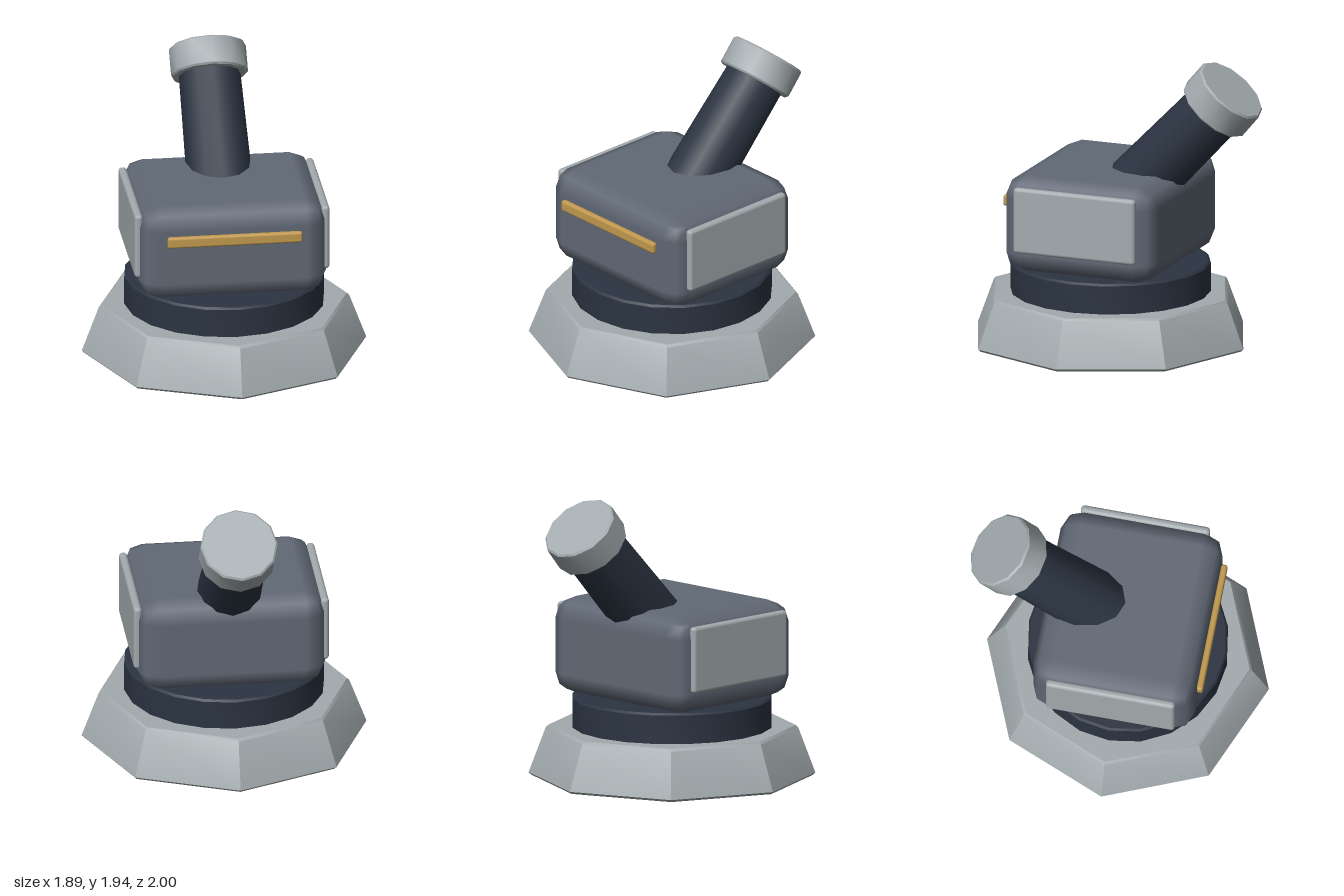
import * as THREE from 'three';
import { toCreasedNormals } from 'three/addons/utils/BufferGeometryUtils.js';
import { RoundedBoxGeometry } from 'three/addons/geometries/RoundedBoxGeometry.js';

const mat = (name, color) => {
  const m = new THREE.MeshStandardMaterial({ color });
  m.name = name;
  return m;
};

// Solid turned about y from y = 0 to h, with small chamfers on both rims
function chamferedDrum(rBottom, rTop, h, sides, c) {
  const profile = [
    [0, 0], [rBottom - c, 0], [rBottom, c], [rTop, h - c], [rTop - c, h], [0, h],
  ].map(([x, y]) => new THREE.Vector2(x, y));
  return toCreasedNormals(new THREE.LatheGeometry(profile, sides), THREE.MathUtils.degToRad(40));
}

export function createModel() {
  const model = new THREE.Group();
  model.name = 'turret';

  const lightGrey = mat('light grey', 0xa3abae);
  const slate = mat('slate grey', 0x616976);
  const navy = mat('dark navy', 0x2b3442);
  const gold = mat('gold', 0xc2994e);

  const add = (name, geometry, material, x, y, z, tilt = 0) => {
    const mesh = new THREE.Mesh(geometry, material);
    mesh.name = name;
    mesh.position.set(x, y, z);
    mesh.rotation.x = -THREE.MathUtils.degToRad(tilt);
    model.add(mesh);
    return mesh;
  };
  const midZ = 0.056;

  // Octagonal foot and the round turntable on it
  add('base', chamferedDrum(0.945, 0.832, 0.335, 8, 0.016), lightGrey, 0, 0, midZ);
  add('turntable', chamferedDrum(0.663, 0.663, 0.22, 20, 0.014), navy, 0, 0.32, midZ);

  // Rounded housing
  add('housing', new RoundedBoxGeometry(1.25, 0.65, 1.085, 1, 0.14), slate, 0, 0.865, midZ);

  // Side plates
  for (const [name, s] of [['leftPlate', 1], ['rightPlate', -1]]) {
    add(name, new RoundedBoxGeometry(0.055, 0.445, 0.865, 2, 0.024), lightGrey,
      s * 0.621, 0.913, midZ);
  }

  // Front light strip
  add('frontStrip', new RoundedBoxGeometry(0.895, 0.075, 0.042, 2, 0.016), gold, 0, 0.988, 0.62);

  // Barrel leaning backwards, with a wider muzzle cap
  add('barrel', new THREE.CylinderGeometry(0.204, 0.222, 1.0, 12), navy, 0, 1.307, -0.374, 43.4);
  add('muzzleCap', chamferedDrum(0.256, 0.256, 0.2, 12, 0.012), lightGrey, 0, 1.629, -0.679, 40.2);

  return model;
}
